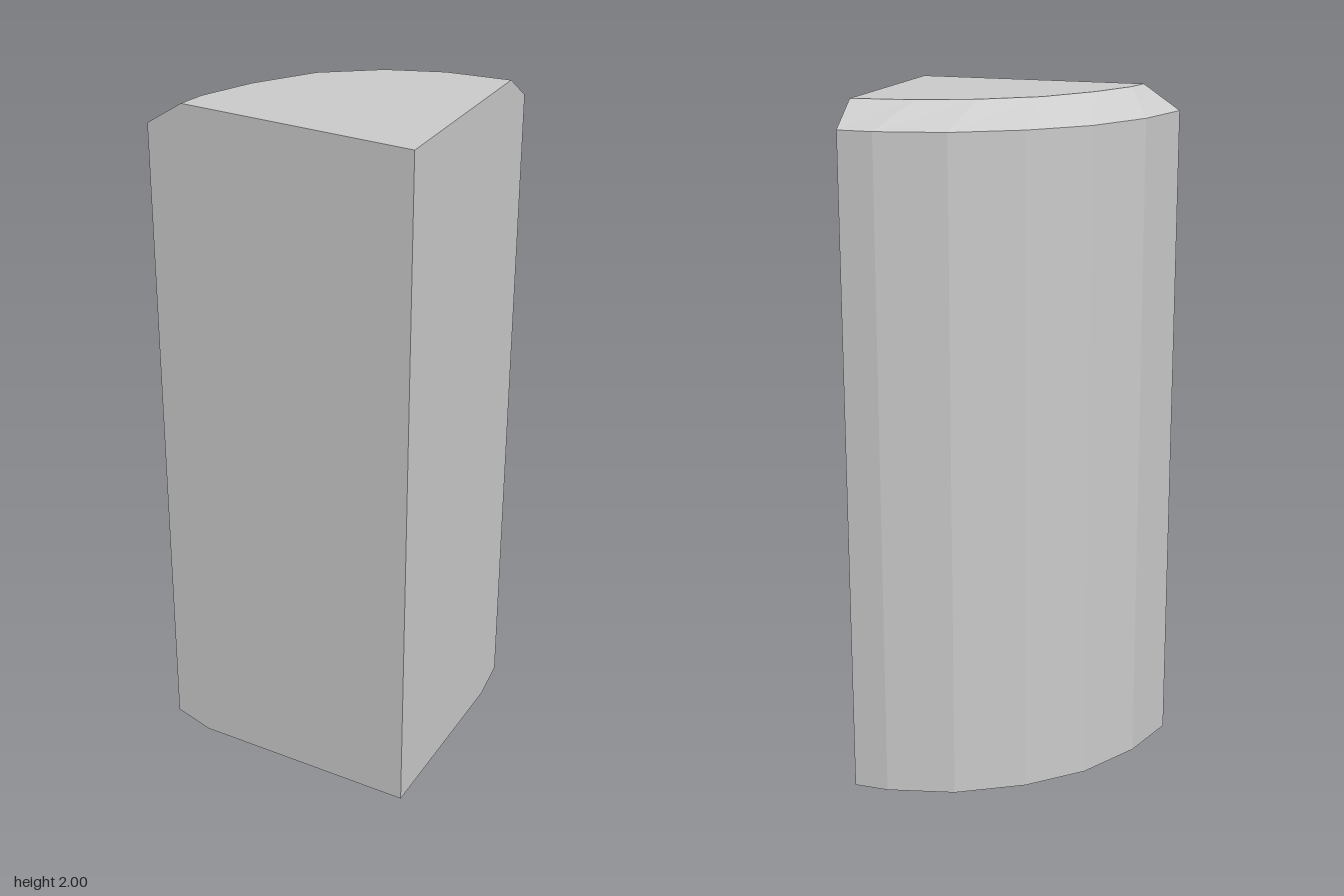
import * as THREE from 'three';

// Square corner of the quarter-round section, then its faceted arc as [x, z]
const corner = [0.38, 0.325];
const outer = [corner, [-0.38, 0.325], [-0.33, 0.14], [-0.23, -0.04], [-0.09, -0.175],
  [0.09, -0.28], [0.28, -0.325], [0.38, -0.325]];
// The same section drawn in by the chamfer
const inner = [corner, [-0.275, 0.325], [-0.26, 0.25], [-0.195, 0.11], [-0.09, -0.04],
  [0.055, -0.145], [0.205, -0.205], [0.38, -0.23]];

// Skins a stack of matching sections and closes both ends with fans
function loft(sections) {
  const n = sections[0].outline.length;
  const positions = [];
  const index = [];
  for (const { outline, y } of sections) {
    for (const [x, z] of outline) positions.push(x, y, z);
  }
  for (let s = 0; s < sections.length - 1; s++) {
    for (let i = 0; i < n; i++) {
      const a = s * n + i;
      const b = s * n + (i + 1) % n;
      index.push(b, a, a + n, b, a + n, b + n);
    }
  }
  const top = (sections.length - 1) * n;
  for (let i = 1; i < n - 1; i++) {
    index.push(0, i, i + 1);
    index.push(top, top + i + 1, top + i);
  }
  const geometry = new THREE.BufferGeometry();
  geometry.setAttribute('position', new THREE.Float32BufferAttribute(positions, 3));
  geometry.setIndex(index);
  const flat = geometry.toNonIndexed();
  flat.computeVertexNormals();
  return flat;
}

export function createModel() {
  const group = new THREE.Group();
  group.name = 'quarterRoundColumn';

  // Column with a shallow lower chamfer and a steeper upper one
  const column = new THREE.Mesh(
    loft([
      { outline: inner, y: 0 },
      { outline: outer, y: 0.035 },
      { outline: outer, y: 1.93 },
      { outline: inner, y: 2 },
    ]),
    new THREE.MeshStandardMaterial({ color: 0xcccccc, flatShading: true }),
  );
  column.name = 'chamferedColumn';
  group.add(column);
  return group;
}
